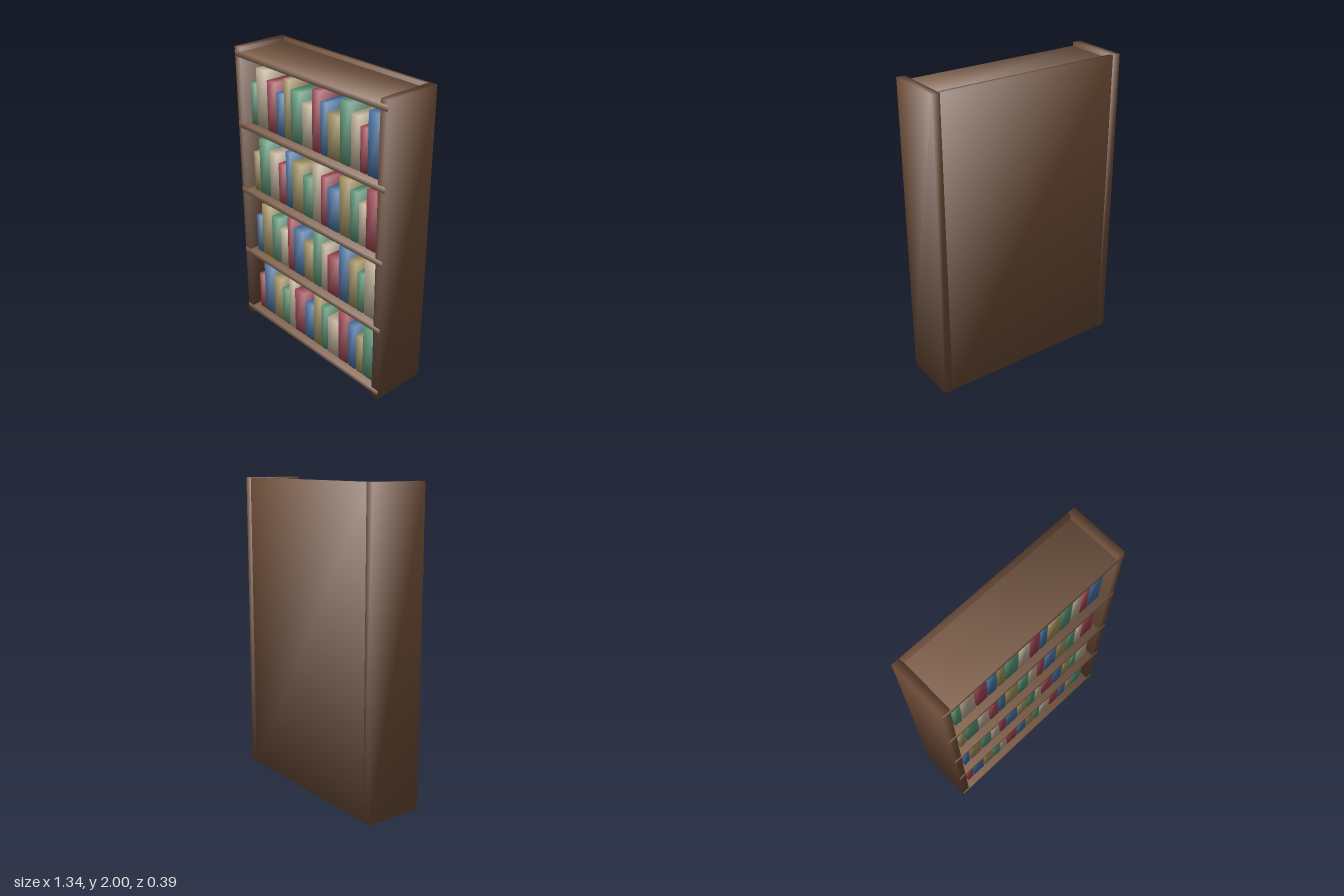
import * as THREE from 'three';

const WOOD = 0x6b4a35, SHELF_WOOD = 0x876650;
const BOOK_COLORS = [0x9c4250, 0x426f9f, 0x9c8c58, 0x549070, 0xb8a88f];

// Box whose corner normals point outward, for soft shading across its edges
function softBox(name, material, [x0, x1], [y0, y1], [z0, z1]) {
  const geometry = new THREE.BoxGeometry(x1 - x0, y1 - y0, z1 - z0);
  const position = geometry.attributes.position;
  const corner = new THREE.Vector3();
  for (let i = 0; i < position.count; i++) {
    corner.fromBufferAttribute(position, i);
    corner.set(Math.sign(corner.x), Math.sign(corner.y), Math.sign(corner.z)).normalize();
    geometry.attributes.normal.setXYZ(i, corner.x, corner.y, corner.z);
  }
  const mesh = new THREE.Mesh(geometry, material);
  mesh.name = name;
  mesh.position.set((x0 + x1) / 2, (y0 + y1) / 2, (z0 + z1) / 2);
  return mesh;
}

export function createModel() {
  const model = new THREE.Group();
  model.name = 'bookcase';
  const wood = new THREE.MeshStandardMaterial({ color: WOOD });
  const shelfWood = new THREE.MeshStandardMaterial({ color: SHELF_WOOD });
  const covers = BOOK_COLORS.map((color) => new THREE.MeshStandardMaterial({ color }));

  // Carcass: two side panels and a back
  model.add(softBox('rightSide', wood, [-0.67, -0.615], [0, 2], [-0.193, 0.19]));
  model.add(softBox('leftSide', wood, [0.615, 0.67], [0, 2], [-0.193, 0.19]));
  model.add(softBox('back', wood, [-0.62, 0.62], [0, 2], [-0.192, -0.165]));

  // Five shelves, running over the front edges of the sides
  const shelfTop = (row) => 0.066 + row * 0.477;
  for (let row = 0; row < 5; row++) {
    const y = shelfTop(row);
    model.add(softBox('shelf', shelfWood, [-0.668, 0.668], [y - 0.036, y], [-0.17, 0.193]));
  }

  // Four rows of books; widths, heights and colours repeat in cycles
  const widths = [0.05, 0.095, 0.08, 0.065];
  const heights = [0.278, 0.388, 0.333];
  const gap = 0.0112;
  for (let row = 0; row < 4; row++) {
    const books = new THREE.Group();
    books.name = 'bookRow';
    const y = shelfTop(row);
    let x = -0.578;
    for (let i = 0; i < 14; i++) {
      const width = widths[i % 4];
      const cover = covers[(i + row) % 5];
      books.add(softBox('book', cover, [x, x + width], [y, y + heights[i % 3]], [-0.11, 0.147]));
      x += width + gap;
    }
    model.add(books);
  }
  return model;
}
